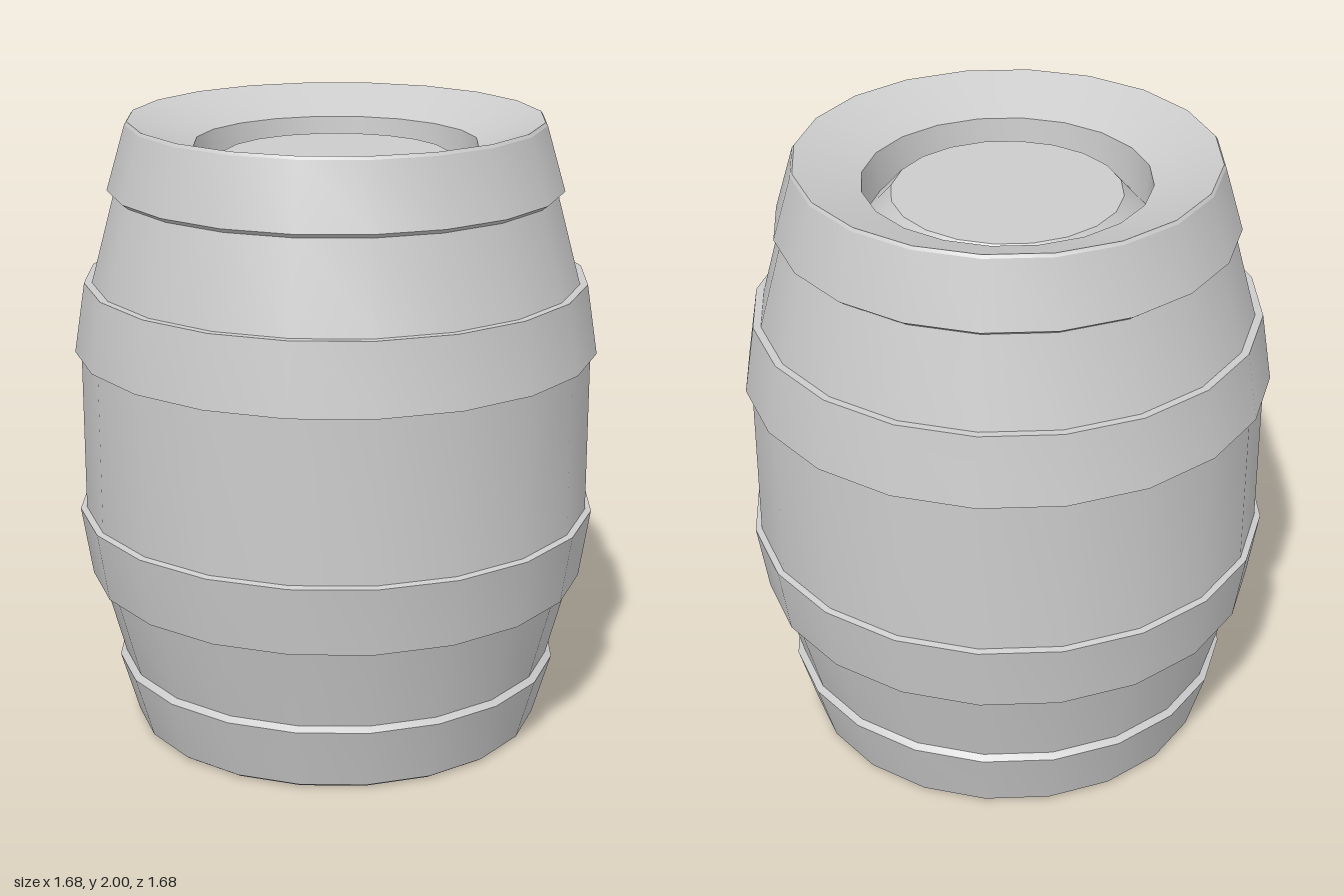
import * as THREE from 'three';
import { toCreasedNormals } from 'three/addons/utils/BufferGeometryUtils.js';

const SIDES = 20;
const CREASE = THREE.MathUtils.degToRad(35);
const material = new THREE.MeshStandardMaterial({ color: 0xcccccc, side: THREE.DoubleSide });

// Profiles are [radius, height] lists, running upward along the outside.
function lathe(name, profile, smooth = false) {
  const geometry = new THREE.LatheGeometry(profile.map(([r, y]) => new THREE.Vector2(r, y)), SIDES);
  const mesh = new THREE.Mesh(smooth ? geometry : toCreasedNormals(geometry, CREASE), material);
  mesh.name = name;
  return mesh;
}

// Flips a profile about mid height, keeping its upward direction.
const flip = (profile) => profile.map(([r, y]) => [r, 2 - y]).reverse();

export function createModel() {
  const barrel = new THREE.Group();
  barrel.name = 'barrel';

  // Wooden wall: straight belly and the tapering bands between hoops
  const taper = [[0.705, 0.23], [0.78, 0.51]];
  barrel.add(
    lathe('belly', [[0.82, 0.74], [0.82, 1.26]]),
    lathe('lowerStaves', taper),
    lathe('upperStaves', flip(taper)),
  );

  // Raised hoops with their stepped edges
  const bellyHoop = [[0.78, 0.51], [0.805, 0.51], [0.84, 0.735], [0.82, 0.74]];
  const endHoop = [[0.665, 0.01], [0.725, 0.215], [0.705, 0.23]];
  barrel.add(
    lathe('lowerBellyHoop', bellyHoop),
    lathe('upperBellyHoop', flip(bellyHoop)),
    lathe('lowerEndHoop', endHoop),
    lathe('upperEndHoop', flip(endHoop)),
  );

  // Top: dished rim, groove and raised plug
  barrel.add(
    lathe('topRim', [[0.665, 1.99], [0.658, 2], [0.45, 1.92], [0.44, 1.79]]),
    lathe('plug', [[0.44, 1.79], [0.36, 1.88], [0, 1.88]]),
  );

  // Base: flat ring around a soft hollow
  barrel.add(
    lathe('baseRing', [[0.465, 0], [0.65, 0], [0.665, 0.01]]),
    lathe('baseHollow', [[0, 0.14], [0.38, 0.14], [0.465, 0]], true),
  );

  return barrel;
}
